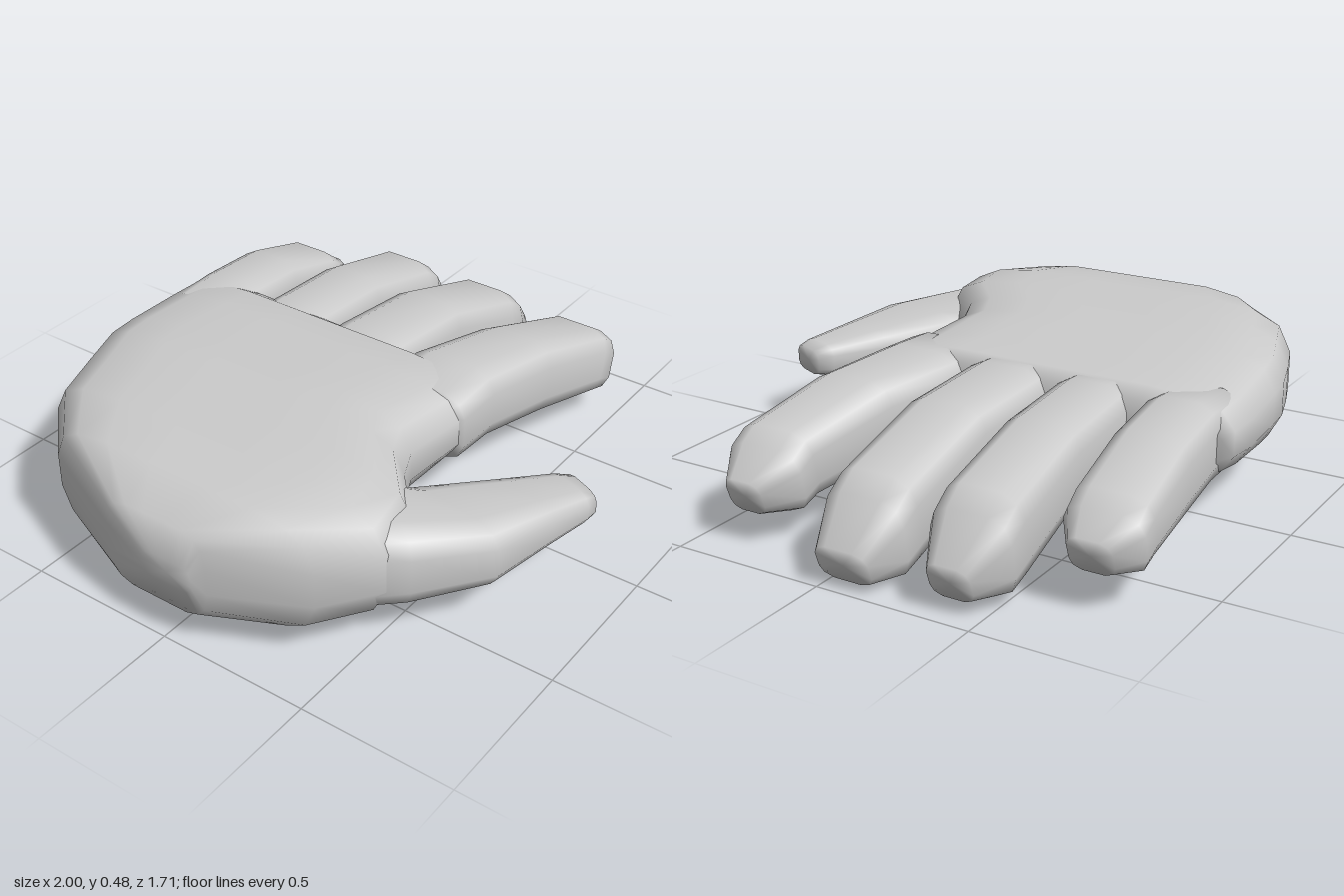
import * as THREE from 'three';

const material = new THREE.MeshStandardMaterial({ color: 0xcccccc });

// Upper quarter of a cross-section (u across, v up), mirrored into a full ring
function ring(quarter) {
  const left = quarter.slice().reverse().map(([u, v]) => [-u, v]);
  const upper = [...quarter, ...left];
  const lower = upper.map(([u, v]) => [-u, -v]);
  return [...upper, ...lower];
}
const palmRing = ring([[1, 0.3], [0.93, 0.72], [0.8, 0.9], [0.55, 1], [0.2, 1]]);
const fingerRing = ring([[1, 0.42], [0.86, 0.8], [0.5, 1]]);

// Smooth skin through sections [x, zBack, zFront, top, bottom, lean, skew]:
// lean shifts the lower side along x, skew shifts the front edge along x
function loft(name, rows, profile) {
  const n = profile.length, pos = [], index = [];
  const last = rows.length - 1;
  for (const [x, zBack, zFront, top, bottom, lean = 0, skew = 0] of rows) {
    for (const [u, v] of profile) {
      const s = (u + 1) / 2, h = (v + 1) / 2;
      pos.push(
        x + skew * s + lean * (1 - h),
        bottom + (top - bottom) * h,
        zBack + (zFront - zBack) * s
      );
    }
  }
  for (const [x, zBack, zFront, top, bottom, lean = 0, skew = 0] of [rows[0], rows[last]]) {
    pos.push(x + (skew + lean) / 2, (top + bottom) / 2, (zBack + zFront) / 2);
  }
  const start = rows.length * n;
  for (let i = 0; i < n; i++) {
    const j = (i + 1) % n;
    for (let r = 0; r < last; r++) {
      const a = r * n + i, b = r * n + j;
      index.push(a, a + n, b, b, a + n, b + n);
    }
    index.push(start, i, j, start + 1, last * n + j, last * n + i);
  }
  const geometry = new THREE.BufferGeometry();
  geometry.setAttribute('position', new THREE.Float32BufferAttribute(pos, 3));
  geometry.setIndex(index);
  geometry.computeVertexNormals();
  const mesh = new THREE.Mesh(geometry, material);
  mesh.name = name;
  return mesh;
}

// Finger that curls down from the knuckle; base, mid and tip are z ranges
function finger(name, base, mid, tip, end, low) {
  const at = (f) => 0.17 + (end - 0.17) * f;
  return loft(name, [
    [0.0, ...base, 0.42, 0.18],
    [0.17, ...base, 0.428, 0.17],
    [at(0.38), (base[0] + mid[0]) / 2, (base[1] + mid[1]) / 2, 0.405, 0.145, -0.03],
    [at(0.79), ...mid, Math.min(low + 0.3, 0.325), low + 0.02, -0.06],
    [at(0.87), ...mid, Math.min(low + 0.25, 0.285), low, -0.05],
    [end, ...tip, low + 0.13, low + 0.02, -0.04],
  ], fingerRing);
}

export function createModel() {
  const hand = new THREE.Group();
  hand.name = 'hand';

  // Palm, from the rounded heel to the knuckles
  hand.add(loft('palm', [
    [-1.0, -0.06, 0.12, 0.3, 0.21],
    [-0.97, -0.22, 0.15, 0.4, 0.105],
    [-0.84, -0.54, 0.43, 0.46, 0.08],
    [-0.67, -0.71, 0.55, 0.475, 0.07],
    [-0.5, -0.77, 0.52, 0.476, 0.09],
    [-0.34, -0.82, 0.38, 0.476, 0.11],
    [-0.23, -0.835, 0.33, 0.465, 0.125],
    [0.0, -0.855, 0.35, 0.44, 0.15],
    [0.12, -0.855, 0.365, 0.432, 0.17],
    [0.18, -0.84, 0.36, 0.4, 0.2, 0, -0.03],
  ], palmRing));

  // Thumb, splayed to the front
  hand.add(loft('thumb', [
    [-0.55, 0.0, 0.4, 0.4, 0.12, 0, -0.27],
    [-0.44, 0.3, 0.6, 0.39, 0.12, 0, -0.18],
    [-0.36, 0.4, 0.76, 0.36, 0.14, 0, -0.06],
    [-0.15, 0.565, 0.81, 0.325, 0.17, 0, -0.05],
    [0.0, 0.68, 0.845, 0.3, 0.19, 0, -0.06],
    [0.04, 0.715, 0.85, 0.285, 0.2, 0, -0.06],
  ], fingerRing));

  // Four fingers
  hand.add(finger('indexFinger', [0.05, 0.37], [0.2, 0.465], [0.27, 0.4], 0.91, 0.08));
  hand.add(finger('middleFinger', [-0.25, 0.035], [-0.215, 0.055], [-0.17, 0.01], 1.0, 0));
  hand.add(finger('ringFinger', [-0.53, -0.28], [-0.545, -0.285], [-0.48, -0.34], 0.97, 0.02));
  hand.add(finger('littleFinger', [-0.825, -0.58], [-0.855, -0.605], [-0.8, -0.66], 0.78, 0.1));

  return hand;
}
